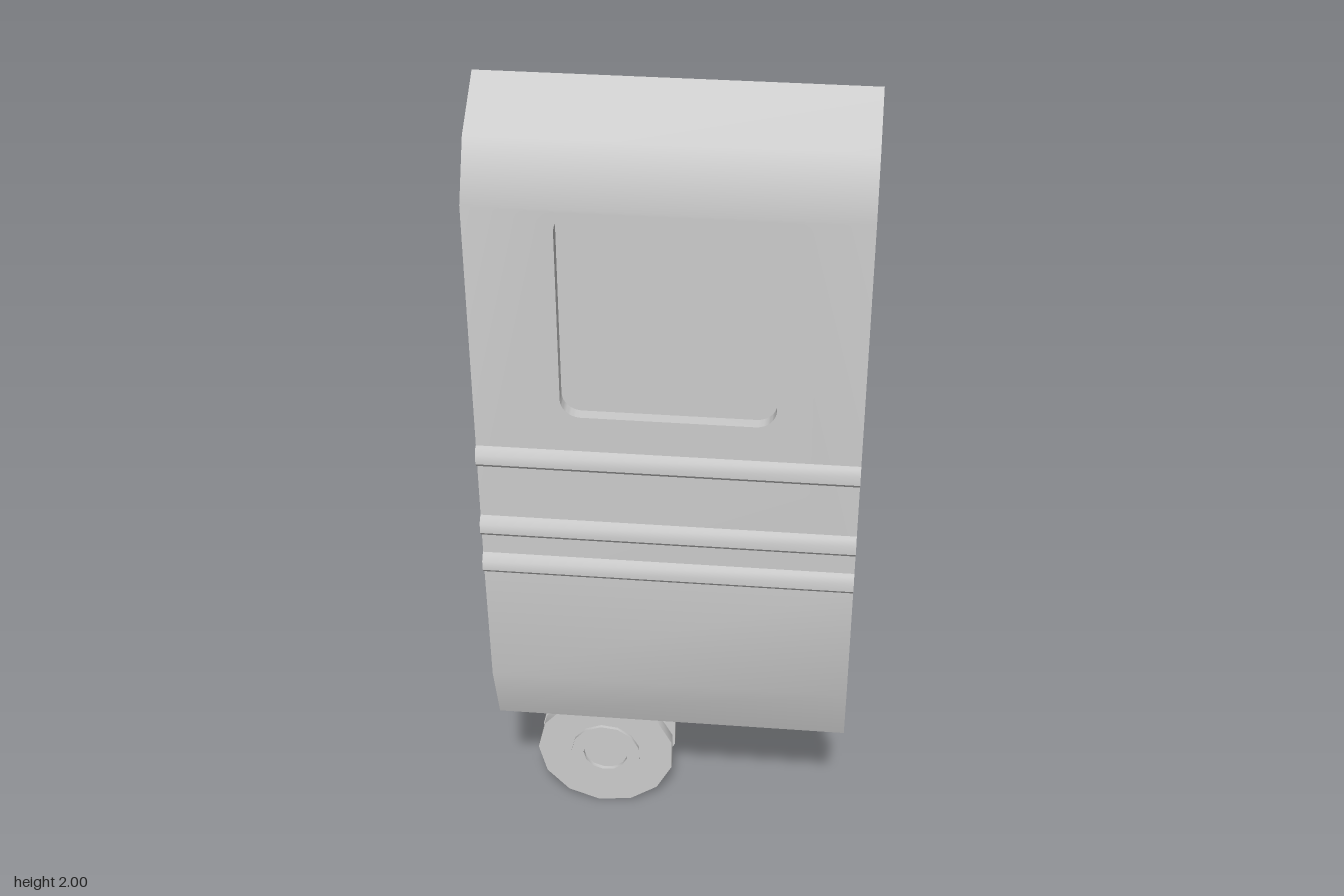
import * as THREE from 'three';
import { mergeGeometries, toCreasedNormals } from 'three/addons/utils/BufferGeometryUtils.js';

const WIDTH = 0.8, Z_IN = 0.127, Z_OUT = 0.177;
const WALL_BOTTOM = 0.92, WALL_TOP = 1.81;
const CREASE = 0.6;

// Extrudes a (z, y) side profile across the full panel width
function extrudeAcross(points) {
  const shape = new THREE.Shape(points.map(([z, y]) => new THREE.Vector2(z, y)));
  const geo = new THREE.ExtrudeGeometry(shape, { depth: WIDTH, bevelEnabled: false });
  return geo.rotateY(-Math.PI / 2).translate(WIDTH / 2, 0, 0);
}

// Rounded window outline in x, y
function windowOutline(PathType) {
  const x0 = -0.22, x1 = 0.223, y0 = 1.332, y1 = 1.803, r = 0.042;
  const p = new PathType();
  p.absarc(x1 - r, y0 + r, r, -Math.PI / 2, 0);
  p.absarc(x1 - r, y1 - r, r, 0, Math.PI / 2);
  p.absarc(x0 + r, y1 - r, r, Math.PI / 2, Math.PI);
  p.absarc(x0 + r, y0 + r, r, Math.PI, Math.PI * 1.5);
  p.closePath();
  return p;
}

export function createModel() {
  const model = new THREE.Group();
  const material = new THREE.MeshStandardMaterial({ color: 0xcccccc });
  const add = (name, geo, mat = material) => {
    const mesh = new THREE.Mesh(geo, mat);
    mesh.name = name;
    model.add(mesh);
    return mesh;
  };

  // Flat middle of the panel, with the window opening
  const h = WIDTH / 2;
  const wallShape = new THREE.Shape([
    new THREE.Vector2(-h, WALL_BOTTOM), new THREE.Vector2(h, WALL_BOTTOM),
    new THREE.Vector2(h, WALL_TOP), new THREE.Vector2(-h, WALL_TOP),
  ]);
  wallShape.holes.push(windowOutline(THREE.Path));
  const wall = new THREE.ExtrudeGeometry(wallShape, {
    depth: Z_OUT - Z_IN, bevelEnabled: false, curveSegments: 6,
  }).translate(0, 0, Z_IN);

  // Curved roof edge and tucked-in lower skirt
  const roof = extrudeAcross([
    [Z_IN, WALL_TOP], [Z_OUT, WALL_TOP], [0.11, 1.925], [-0.022, 2],
    [-0.022, 1.979], [0.097, 1.918], [Z_IN, 1.825],
  ]);
  const skirt = extrudeAcross([
    [Z_OUT, WALL_BOTTOM], [Z_IN, WALL_BOTTOM], [Z_IN, 0.615], [0.055, 0.445],
    [-0.016, 0.4], [-0.016, 0.393], [0.028, 0.393], [0.112, 0.45], [0.165, 0.61],
  ]);
  add('sidePanel', toCreasedNormals(mergeGeometries([wall, roof, skirt]), CREASE));

  // Window pane set midway in the opening
  const paneMaterial = material.clone();
  paneMaterial.side = THREE.DoubleSide;
  const pane = new THREE.ShapeGeometry(windowOutline(THREE.Shape), 6);
  add('windowPane', pane.translate(0, 0, 0.15), paneMaterial);

  // Three horizontal ribs
  [1.2, 1.02, 0.92].forEach((y, i) => {
    const rib = extrudeAcross([
      [0.17, y], [0.187, y + 0.003], [0.194, y + 0.012],
      [0.194, y + 0.034], [0.187, y + 0.046], [0.17, y + 0.05],
    ]);
    add('rib' + (i + 1), toCreasedNormals(rib, CREASE));
  });

  // Double-flanged wheel with a raised hub ring on both faces
  const half = [
    [0.134, 0.028], [0.168, 0.028], [0.168, 0.056], [0.085, 0.056],
    [0.085, 0.064], [0.055, 0.064], [0.055, 0.054], [0, 0.054],
  ];
  const profile = [...half.map(([r, d]) => [r, -d]).reverse(), ...half];
  const wheel = new THREE.LatheGeometry(
    profile.map(([r, d]) => new THREE.Vector2(r, d)), 13, -Math.PI / 2);
  wheel.rotateX(Math.PI / 2);
  add('wheel', toCreasedNormals(wheel, CREASE)).position.set(-0.18, 0.167, -0.131);

  return model;
}
